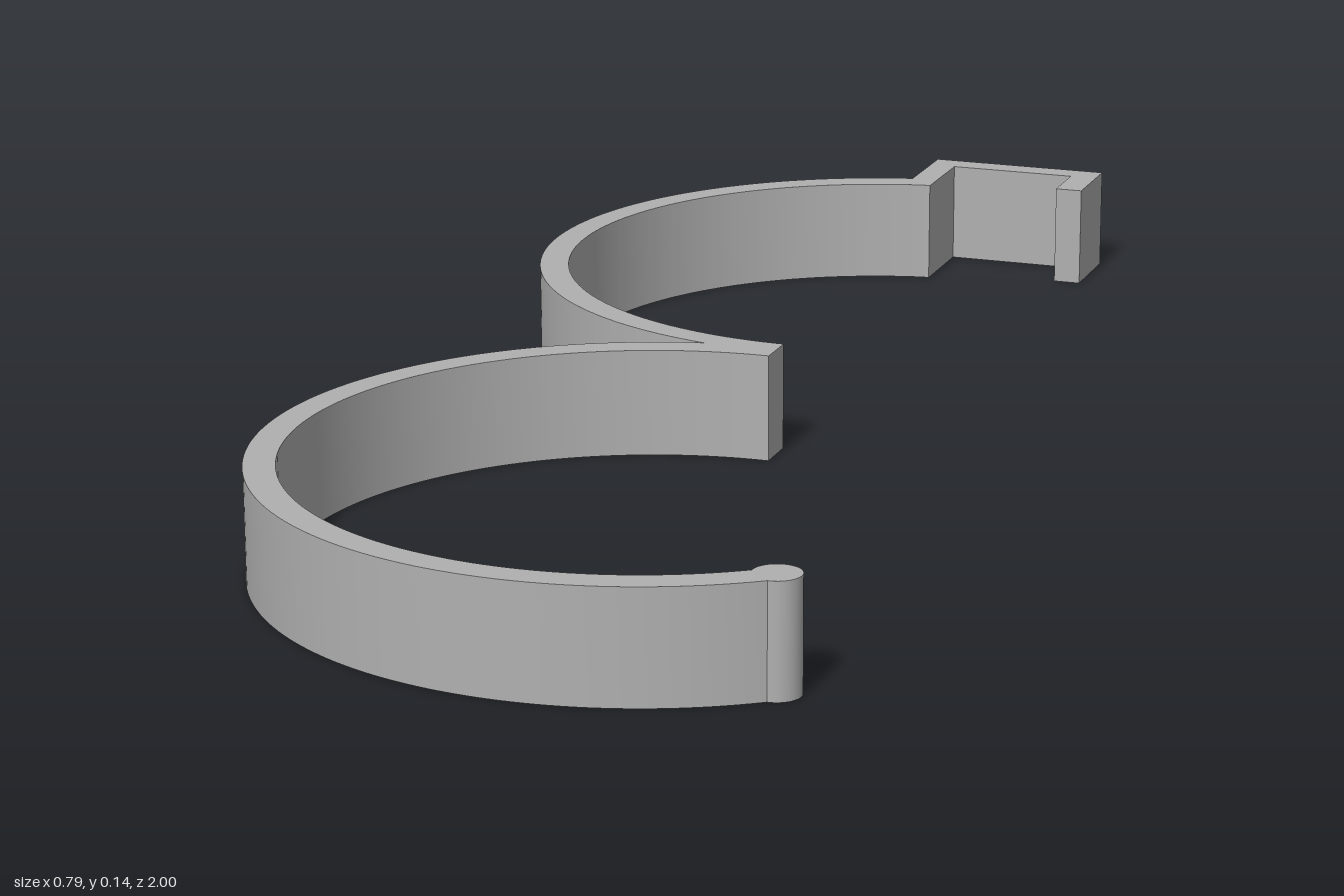
import * as THREE from 'three';
import { toCreasedNormals } from 'three/addons/utils/BufferGeometryUtils.js';

const HEIGHT = 0.14;
const OUTER = 0.476, INNER = 0.437;
const SEAM = 0.466; // distance from ring centre to the plane where both rings join

export function createModel() {
  const model = new THREE.Group();
  const grey = new THREE.MeshStandardMaterial({ color: 0xb0b0b0 });
  grey.name = 'grey';

  function add(name, geometry, x, y, z) {
    const mesh = new THREE.Mesh(geometry, grey);
    mesh.name = name;
    mesh.position.set(x, y, z);
    model.add(mesh);
  }

  // Extrude a plan outline (shape y = -z) upwards, smoothing the curved walls
  function extrudePlan(shape) {
    const geometry = new THREE.ExtrudeGeometry(shape, { depth: HEIGHT, bevelEnabled: false, curveSegments: 72 });
    geometry.rotateX(-Math.PI / 2);
    return toCreasedNormals(geometry, 0.4);
  }

  // Open ring from the central seam around the right side to the end angle
  function ringBand(side, end) {
    const top = Math.PI / 2;
    const start = top + Math.acos(SEAM / OUTER);
    const shape = new THREE.Shape();
    shape.moveTo(0, side * SEAM);
    shape.lineTo(OUTER * Math.cos(start), side * SEAM);
    shape.absarc(0, 0, OUTER, side * start, side * end, side < 0);
    shape.absarc(0, 0, INNER, side * end, side * top, side > 0);
    shape.closePath();
    return extrudePlan(shape);
  }

  // Two open rings sharing a short fused stub in the middle
  add('frontRing', ringBand(1, 5.388), 0.08, 0, 0.524);
  add('rearRing', ringBand(-1, 1.5 * Math.PI - 0.161), 0.08, 0, -0.408);

  // Rounded bead on the free end of the front ring
  add('tipBead', new THREE.CylinderGeometry(0.029, 0.029, HEIGHT, 32), 0.364, HEIGHT / 2, 0.878);

  // Square hook at the back: post, bridge and short return leg
  const hook = new THREE.Shape([
    [-0.027, 0.838], [0.01, 0.838], [0.01, 0.963], [0.19, 0.963],
    [0.19, 0.882], [0.228, 0.882], [0.228, 1], [-0.027, 1],
  ].map(([x, y]) => new THREE.Vector2(x, y)));
  add('squareHook', extrudePlan(hook), 0, 0, 0);

  return model;
}
